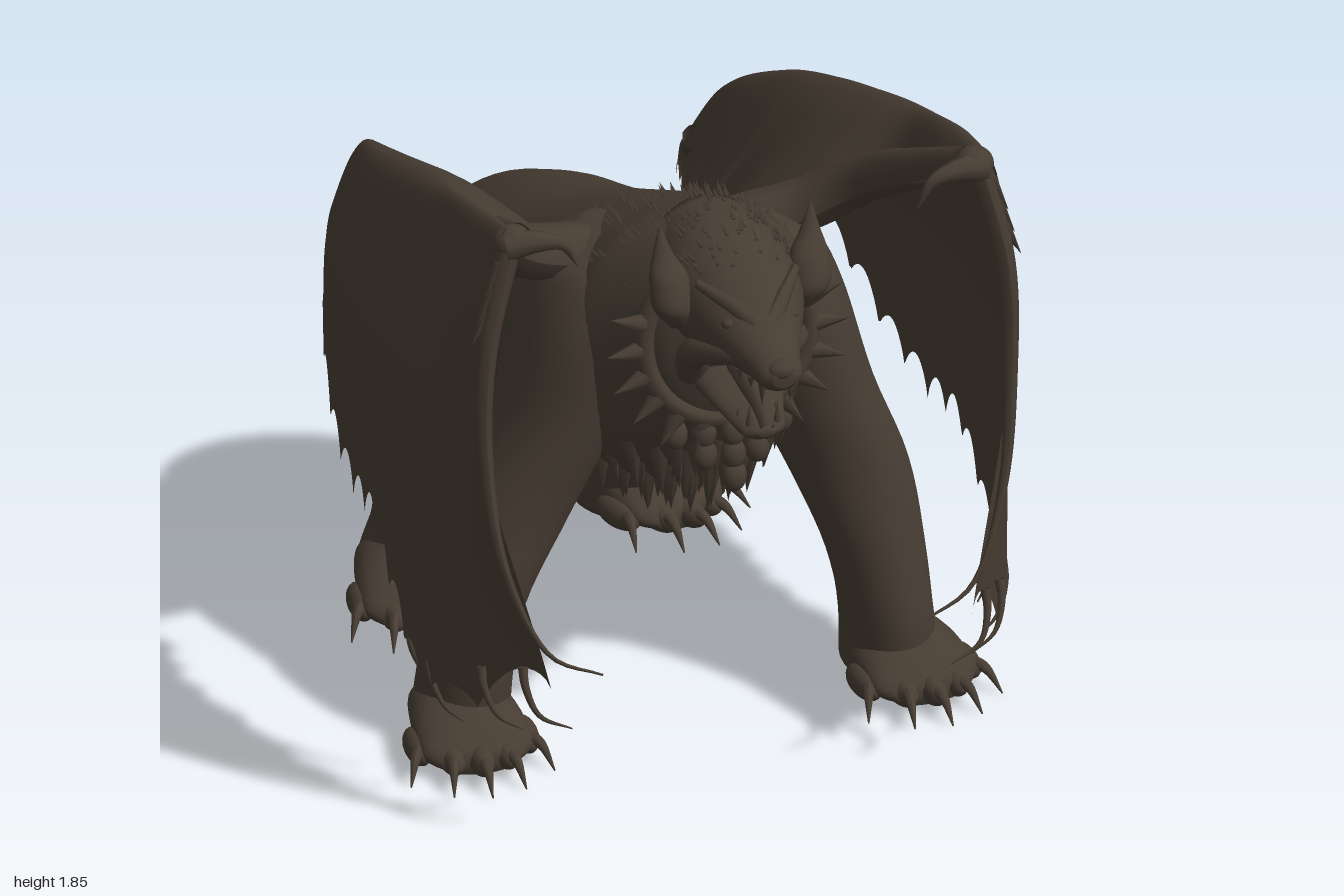
import * as THREE from 'three';
import { mergeGeometries } from 'three/addons/utils/BufferGeometryUtils.js';

const V = (x, y, z) => new THREE.Vector3(x, y, z);
const hide = new THREE.MeshStandardMaterial({ color: 0x463c32, side: THREE.DoubleSide });
hide.name = 'dark brown hide';

let seed = 7;
const rnd = () => (seed = (seed * 16807) % 2147483647) / 2147483647;

function add(parent, name, geo) {
  const m = new THREE.Mesh(geo, hide);
  m.name = name;
  parent.add(m);
  return m;
}

// Smooth centre and radius between sections [x, y, z, rx, r2]
function sampler(pts) {
  const c = new THREE.CatmullRomCurve3(pts.map(p => V(p[0], p[1], p[2])));
  const r = new THREE.CatmullRomCurve3(pts.map(p => V(p[3], p[4], 0)));
  return t => ({ c: c.getPoint(t), r: r.getPoint(t) });
}

function grid(rows, cols, wrap, fn, extra = []) {
  const pos = [], idx = [];
  for (let i = 0; i <= rows; i++) for (let j = 0; j < cols; j++) pos.push(...fn(i / rows, j / (wrap ? cols : cols - 1)).toArray());
  for (let i = 0; i < rows; i++) for (let j = 0; j < (wrap ? cols : cols - 1); j++) {
    const a = i * cols + j, b = i * cols + (j + 1) % cols;
    idx.push(a, b, a + cols, b, b + cols, a + cols);
  }
  if (extra.length) {
    const n = pos.length / 3, last = rows * cols;
    extra.forEach(p => pos.push(...p.toArray()));
    for (let j = 0; j < cols; j++) {
      const k = (j + 1) % cols;
      idx.push(n, k, j, n + 1, last + j, last + k);
    }
  }
  const g = new THREE.BufferGeometry();
  g.setAttribute('position', new THREE.Float32BufferAttribute(pos, 3));
  g.setIndex(idx);
  g.computeVertexNormals();
  return g;
}

// Elliptical loft rising along y or z
function loft(pts, axis, rows = 40, cols = 32) {
  const k = axis === 'y' ? 1 : 2;
  const s = sampler([...pts].sort((a, b) => a[k] - b[k]));
  return grid(rows, cols, true, (t, u) => {
    const { c, r } = s(t), a = u * Math.PI * 2;
    return axis === 'z' ? c.add(V(Math.cos(a) * r.x, Math.sin(a) * r.y, 0)) : c.add(V(Math.sin(a) * r.x, 0, Math.cos(a) * r.y));
  }, [s(0).c, s(1).c]);
}

// Curved tapering tube for claws, fingers and arms
function horn(pts, r0, r1 = 0.002, seg = 14) {
  const curve = new THREE.CatmullRomCurve3(pts.map(p => V(...p)));
  const g = new THREE.TubeGeometry(curve, seg, 1, 10), p = g.attributes.position;
  for (let i = 0; i < p.count; i++) {
    const t = Math.floor(i / 11) / seg, c = curve.getPointAt(t);
    const v = V(0, 0, 0).fromBufferAttribute(p, i).sub(c).multiplyScalar(r0 + (r1 - r0) * t).add(c);
    p.setXYZ(i, v.x, v.y, v.z);
  }
  g.computeVertexNormals();
  return g;
}

function spike(p, dir, len, r, sides = 6) {
  const d = dir.clone().normalize();
  const q = new THREE.Quaternion().setFromUnitVectors(V(0, 1, 0), d);
  return new THREE.ConeGeometry(r, len, sides).translate(0, len / 2, 0).applyQuaternion(q).translate(p.x, p.y, p.z);
}

const ball = (x, y, z, a, b, c) => new THREE.SphereGeometry(1, 20, 14).scale(a, b, c).translate(x, y, z);

const BODY = [
  [-0.1, 0.72, -0.9, 0.06, 0.08], [-0.1, 0.75, -0.86, 0.22, 0.25], [-0.11, 0.79, -0.74, 0.31, 0.34],
  [-0.09, 0.88, -0.5, 0.33, 0.36], [-0.05, 0.97, -0.2, 0.32, 0.37], [0, 1.07, 0.1, 0.35, 0.4],
  [0.03, 1.12, 0.3, 0.37, 0.43], [0.04, 1.2, 0.46, 0.28, 0.38], [0.05, 1.28, 0.58, 0.2, 0.26], [0.05, 1.3, 0.64, 0.08, 0.1],
];
const HEAD = [
  [0.04, 1.4, 0.38, 0.17, 0.2], [0.05, 1.41, 0.54, 0.19, 0.19], [0.06, 1.4, 0.68, 0.165, 0.155], [0.06, 1.37, 0.8, 0.115, 0.1],
  [0.06, 1.345, 0.9, 0.075, 0.06], [0.06, 1.335, 0.96, 0.06, 0.045], [0.06, 1.335, 0.985, 0.03, 0.025],
];

// Foot with five clawed toes, facing +z
function foot(parent, name, x, y, z, yaw) {
  const g = new THREE.Group();
  g.name = name;
  g.position.set(x, y, z);
  g.rotation.y = yaw;
  add(g, 'paw', loft([[0, 0.06, -0.2, 0.05, 0.04], [0, 0.075, -0.15, 0.12, 0.075], [0, 0.085, 0, 0.15, 0.085], [0, 0.065, 0.14, 0.155, 0.06], [0, 0.045, 0.2, 0.1, 0.03]], 'z', 20));
  const toes = [], claws = [];
  for (let i = -2; i <= 2; i++) {
    const tx = i * 0.074, tz = 0.2 - 0.025 * i * i, a = i * 0.22;
    toes.push(ball(tx, 0.05, tz - 0.03, 0.037, 0.042, 0.085));
    const at = (d, h) => [tx + Math.sin(a) * d, h, tz + Math.cos(a) * d];
    claws.push(horn([at(0.01, 0.06), at(0.06, 0.06), at(0.12, 0.003)], 0.022));
  }
  add(g, 'toes', mergeGeometries(toes));
  add(g, 'claws', mergeGeometries(claws));
  parent.add(g);
}

// Wing stations, back to front: z, inner xy, ridge xy, outer xy, hem xy, hem z
const WING = [
  [-0.87, 0.41, 0.95, 0.43, 1.06, 0.48, 1.0, 0.5, 0.94, -0.9], [-0.74, 0.38, 0.98, 0.51, 1.28, 0.6, 1.14, 0.62, 0.97, -0.74],
  [-0.5, 0.29, 1.0, 0.6, 1.43, 0.71, 1.2, 0.73, 0.86, -0.5], [-0.25, 0.2, 1.09, 0.64, 1.53, 0.78, 1.25, 0.79, 0.7, -0.25],
  [0, 0.22, 1.29, 0.66, 1.62, 0.81, 1.28, 0.82, 0.64, 0], [0.2, 0.28, 1.39, 0.67, 1.69, 0.825, 1.3, 0.835, 0.64, 0.2],
  [0.4, 0.54, 1.55, 0.68, 1.75, 0.825, 1.3, 0.84, 0.48, 0.4], [0.62, 0.56, 1.66, 0.69, 1.81, 0.81, 1.3, 0.82, 0.32, 0.64],
  [0.84, 0.59, 1.78, 0.68, 1.855, 0.76, 1.3, 0.6, 0.5, 0.97],
];

function wing(parent, s) {
  const g = new THREE.Group();
  g.name = s > 0 ? 'leftWing' : 'rightWing';
  const rails = [1, 3, 5, 7].map(k => new THREE.CatmullRomCurve3(WING.map(w => V(s * w[k], w[k + 1], k === 7 ? w[9] : w[0]))));
  const cut = t => Math.abs(Math.sin(Math.PI * 14 * t)) ** 0.7 * 0.09;
  add(g, 'membrane', grid(180, 34, false, (t, v) => {
    const p = new THREE.CatmullRomCurve3(rails.map(r => r.getPoint(t)), false, 'centripetal').getPoint(v);
    const inner = t < 0.36 ? 0.6 * Math.max(0, 1 - v / 0.25) ** 2 : 0;
    p.y += cut(t) * (Math.max(0, (v - 0.6) / 0.4) ** 2 + inner);
    return p;
  }));
  const M = (...a) => a.map(p => [s * p[0], p[1], p[2]]);
  add(g, 'arm', horn(M([0.22, 1.36, 0.16], [0.4, 1.42, 0.21], [0.53, 1.53, 0.32], [0.6, 1.68, 0.58], [0.64, 1.8, 0.8]), 0.085, 0.045, 30));
  add(g, 'wrist', ball(s * 0.66, 1.805, 0.82, 0.055, 0.05, 0.05));
  add(g, 'thumbClaw', horn(M([0.68, 1.8, 0.83], [0.6, 1.81, 0.85], [0.53, 1.795, 0.86], [0.485, 1.72, 0.86]), 0.045));
  add(g, 'frontFinger', horn(M([0.67, 1.81, 0.83], [0.74, 1.5, 0.85], [0.75, 1.2, 0.86], [0.71, 0.85, 0.91], [0.6, 0.6, 0.97], [0.46, 0.53, 0.99]), 0.035, 0.003, 40));
  // Long hooked tips along the hem
  const tips = [[0.83, 0.43, 0.5], [0.82, 0.4, 0.62], [0.74, 0.46, 0.82], [0.66, 0.5, 0.93]].map(([x, y, z], i) =>
    horn(M([x, y + 0.05, z - 0.02], [x, y, z], [x - 0.03, y - 0.08, z + 0.03], [x - 0.06 - i * 0.02, y - 0.13, z + 0.04]), 0.014));
  tips.push(horn(M([0.43, 1.12, -0.76], [0.44, 1.03, -0.84], [0.45, 0.92, -0.91]), 0.04));
  tips.push(horn(M([0.57, 1.1, -0.66], [0.58, 1.03, -0.74], [0.57, 0.95, -0.82]), 0.03));
  add(g, 'hemClaws', mergeGeometries(tips));
  // Barbs beside the wrist
  const barbs = [0, 1, 2].map(i => spike(V(s * (0.7 + i * 0.018), 1.76 - i * 0.07, 0.84), V(s * 0.5, -1, 0.1), 0.11, 0.02));
  add(g, 'wristBarbs', mergeGeometries(barbs));
  parent.add(g);
}

function head(parent) {
  const g = new THREE.Group();
  g.name = 'head';
  add(g, 'skull', loft(HEAD, 'z'));
  add(g, 'lowerJaw', loft([[0.06, 1.2, 0.5, 0.15, 0.09], [0.06, 1.17, 0.62, 0.13, 0.06], [0.06, 1.12, 0.74, 0.085, 0.035], [0.06, 1.1, 0.82, 0.06, 0.028], [0.06, 1.1, 0.845, 0.02, 0.01]], 'z'));
  add(g, 'tongue', horn([[0.06, 1.21, 0.62], [0.06, 1.19, 0.72], [0.06, 1.16, 0.81], [0.06, 1.12, 0.85]], 0.045, 0.02));
  add(g, 'nose', ball(0.06, 1.355, 0.96, 0.04, 0.03, 0.03));
  const teeth = [], brows = [], eyes = [];
  for (const s of [-1, 1]) {
    const x = d => 0.06 + s * d;
    for (let i = 0; i < 4; i++) {
      teeth.push(spike(V(x(0.04 + i * 0.014), 1.3, 0.92 - i * 0.05), V(0, -1, 0), i ? 0.035 : 0.07, 0.012));
      teeth.push(spike(V(x(0.04 + i * 0.013), 1.12, 0.82 - i * 0.05), V(0, 1, 0), i ? 0.035 : 0.065, 0.012));
    }
    brows.push(horn([[x(0.02), 1.425, 0.82], [x(0.07), 1.465, 0.77], [x(0.14), 1.5, 0.68]], 0.03, 0.012));
    brows.push(horn([[x(0.05), 1.35, 0.86], [x(0.1), 1.33, 0.78], [x(0.14), 1.28, 0.66], [x(0.12), 1.19, 0.58]], 0.025, 0.05));
    eyes.push(ball(x(0.085), 1.425, 0.79, 0.024, 0.016, 0.02));
    // Pointed ear, cupped forwards
    add(g, s > 0 ? 'leftEar' : 'rightEar', loft([[x(0.175), 1.36, 0.64, 0.03, 0.02], [x(0.195), 1.43, 0.64, 0.06, 0.05], [x(0.2), 1.5, 0.62, 0.055, 0.045], [x(0.21), 1.56, 0.6, 0.03, 0.022], [x(0.215), 1.64, 0.59, 0.003, 0.003]], 'y', 20, 20));
  }
  add(g, 'teeth', mergeGeometries(teeth));
  add(g, 'browsAndCheeks', mergeGeometries(brows));
  add(g, 'eyes', mergeGeometries(eyes));
  parent.add(g);
}

function collar(parent) {
  const g = new THREE.Group();
  g.name = 'collar';
  g.position.set(0.05, 1.25, 0.54);
  g.rotation.x = -0.1;
  add(g, 'band', new THREE.TorusGeometry(0.235, 0.03, 10, 48).scale(1, 1, 1.4));
  const spikes = [];
  for (let i = 0; i < 13; i++) {
    const a = Math.PI * (0.9 + i * 1.2 / 12), d = V(Math.cos(a), Math.sin(a), 0.15);
    spikes.push(spike(V(d.x * 0.24, d.y * 0.24, 0.01), d, 0.11, 0.032, 8));
  }
  add(g, 'collarSpikes', mergeGeometries(spikes));
  // Studded breast ornament
  const studs = [];
  for (let r = 0; r < 3; r++) for (let i = r - 2; i <= 2 - r; i++) studs.push(ball(i * 0.075, -0.27 - r * 0.065, 0.03 - Math.abs(i) * 0.02, 0.035, 0.045, 0.03));
  add(g, 'ornament', mergeGeometries(studs));
  parent.add(g);
}

function fur(parent) {
  // Chest and belly shag: x, y, z, half width
  const path = sampler([[0.05, 1.0, 0.51, 0.22, 0], [0.04, 0.86, 0.47, 0.25, 0], [0.02, 0.74, 0.32, 0.23, 0], [-0.02, 0.68, 0.06, 0.18, 0], [-0.05, 0.62, -0.22, 0.13, 0]]);
  const chest = [], rump = [], mane = [];
  for (let r = 0; r < 13; r++) for (let i = 0; i < 8; i++) {
    const { c, r: w } = path(r / 12), u = (i + (r % 2) * 0.5 - 3.75) / 3.75;
    c.x += u * w.x;
    c.z -= 0.1 * u * u;
    c.y += 0.06 * u * u + 0.04;
    chest.push(spike(c, V(-u * 0.15, -1, 0.1 - r * 0.03), 0.16 + rnd() * 0.05, 0.042, 5));
  }
  for (let r = 0; r < 6; r++) for (let i = 0; i < 8; i++)
    rump.push(spike(V(-0.06 + (i + (r % 2) * 0.5 - 3.75) * (0.042 - r * 0.003), 0.66 - r * 0.045, -0.83 + r * 0.02), V(0, -1, -0.15), 0.14, 0.028, 5));
  const back = sampler(BODY), crown = sampler(HEAD);
  for (let i = 0; i < 260; i++) {
    const onHead = i > 170, { c, r } = onHead ? crown(rnd() * 0.35) : back(0.55 + rnd() * 0.3);
    const a = Math.PI * (0.15 + rnd() * 0.7), n = V(Math.cos(a), Math.sin(a), 0);
    c.add(V(n.x * r.x * 0.98, n.y * r.y * 0.98, 0));
    mane.push(spike(c, n.multiplyScalar(0.35).add(V(0, 0, -1)), 0.04 + rnd() * 0.025, 0.008, 4));
  }
  add(parent, 'chestFur', mergeGeometries(chest));
  add(parent, 'rumpFur', mergeGeometries(rump));
  add(parent, 'mane', mergeGeometries(mane));
}

export function createModel() {
  const g = new THREE.Group();
  g.name = 'wingedBeast';
  add(g, 'body', loft(BODY, 'z', 60, 48));
  for (const s of [-1, 1]) {
    const side = s > 0 ? 'left' : 'right', dz = s > 0 ? 0.02 : -0.04;
    // The shoulders sit a little to the left of the feet
    const lean = y => 0.035 * Math.min(1, Math.max(0, (y - 0.4) / 0.4));
    add(g, side + 'FrontLeg', loft([[0.2, 1.44, 0.2, 0.05, 0.08], [0.24, 1.36, 0.21, 0.14, 0.19], [0.275, 1.18, 0.22, 0.18, 0.23], [0.35, 0.92, 0.24, 0.175, 0.19],
      [0.47, 0.65, 0.27, 0.165, 0.14], [0.56, 0.4, 0.29, 0.135, 0.14], [0.59, 0.2, 0.29, 0.125, 0.16], [0.6, 0.06, 0.28, 0.13, 0.16], [0.6, 0.02, 0.28, 0.11, 0.14]].map(([x, y, z, ...r]) => [s * x + lean(y), y, z + dz, ...r]), 'y'));
    foot(g, side + 'FrontFoot', s * 0.62, 0.01, 0.35 + dz / 2, s * 0.1);
    wing(g, s);
  }
  // Hind legs in mid stride, the right one forward
  add(g, 'leftHindLeg', loft([[0.06, 1.0, -0.58, 0.1, 0.15], [0.13, 0.85, -0.59, 0.18, 0.25], [0.21, 0.62, -0.59, 0.18, 0.28], [0.245, 0.42, -0.63, 0.165, 0.25],
    [0.245, 0.24, -0.74, 0.125, 0.16], [0.24, 0.12, -0.81, 0.13, 0.165], [0.24, 0.03, -0.84, 0.13, 0.16]], 'y'));
  foot(g, 'leftHindFoot', 0.28, 0.03, -0.76, 0.35);
  add(g, 'rightHindLeg', loft([[-0.16, 1.0, -0.55, 0.1, 0.15], [-0.23, 0.85, -0.57, 0.19, 0.27], [-0.31, 0.62, -0.53, 0.2, 0.28], [-0.38, 0.42, -0.51, 0.18, 0.22],
    [-0.44, 0.22, -0.55, 0.125, 0.15], [-0.47, 0.1, -0.58, 0.12, 0.15], [-0.48, 0.03, -0.59, 0.11, 0.15]], 'y'));
  foot(g, 'rightHindFoot', -0.5, 0.03, -0.45, -0.15);
  head(g);
  collar(g);
  fur(g);
  return g;
}
